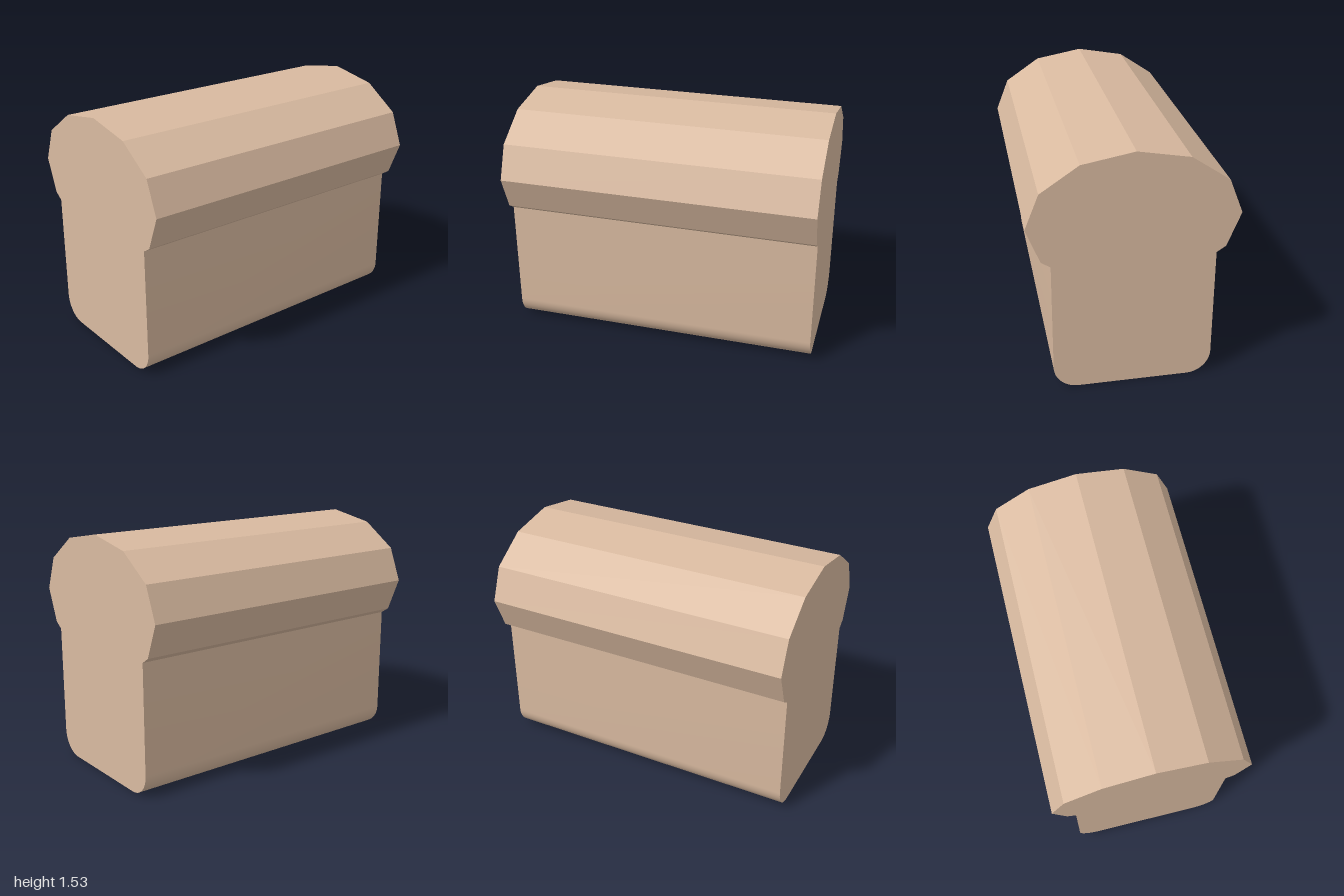
import * as THREE from 'three';
import { toCreasedNormals } from 'three/addons/utils/BufferGeometryUtils.js';

const LENGTH = 2;
const HALF_WIDTH = 0.49;  // half depth of the loaf body
const CORNER = 0.15;      // rounding of the bottom edges
const JOIN_Y = 0.85;      // where body and crown meet

// Extrudes a symmetric cross-section along x, keeping facets crisp and fine curves smooth
function loafPart(name, shape, material) {
  const geometry = new THREE.ExtrudeGeometry(shape, {
    depth: LENGTH, bevelEnabled: false, curveSegments: 12,
  });
  geometry.translate(0, 0, -LENGTH / 2);
  geometry.rotateY(Math.PI / 2);
  const mesh = new THREE.Mesh(toCreasedNormals(geometry, 0.2), material);
  mesh.name = name;
  return mesh;
}

export function createModel() {
  const group = new THREE.Group();
  group.name = 'breadLoaf';
  const crust = new THREE.MeshStandardMaterial({ color: 0xd9baa0 });
  crust.name = 'crust tan';

  // Body: straight sides and rounded bottom edges
  const body = new THREE.Shape();
  body.moveTo(-HALF_WIDTH, JOIN_Y);
  body.lineTo(-HALF_WIDTH, CORNER);
  body.absarc(-HALF_WIDTH + CORNER, CORNER, CORNER, Math.PI, Math.PI * 1.5, false);
  body.lineTo(HALF_WIDTH - CORNER, 0);
  body.absarc(HALF_WIDTH - CORNER, CORNER, CORNER, Math.PI * 1.5, Math.PI * 2, false);
  body.lineTo(HALF_WIDTH, JOIN_Y);
  group.add(loafPart('loafBody', body, crust));

  // Crown: upper part of a faceted twelve-sided oval that overhangs the body
  const points = [new THREE.Vector2(HALF_WIDTH, JOIN_Y)];
  for (let i = -1; i <= 7; i++) {
    const a = (i * Math.PI) / 6;
    points.push(new THREE.Vector2(0.63 * Math.cos(a), 1.1 + 0.427 * Math.sin(a)));
  }
  points.push(new THREE.Vector2(-HALF_WIDTH, JOIN_Y));
  group.add(loafPart('loafCrown', new THREE.Shape(points), crust));

  return group;
}
